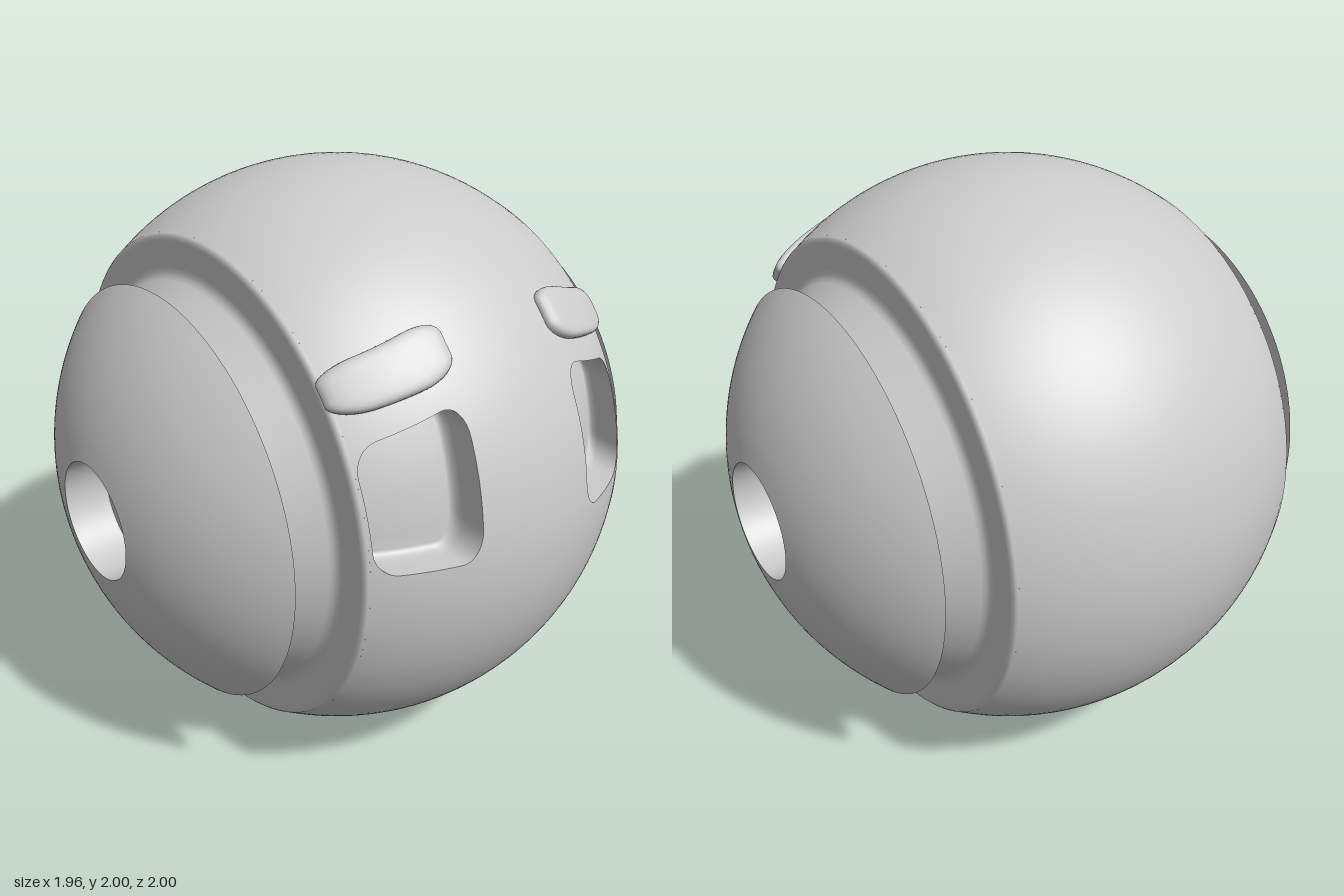
import * as THREE from 'three';
import { mergeGeometries } from 'three/addons/utils/BufferGeometryUtils.js';

const material = new THREE.MeshStandardMaterial({ color: 0xcccccc });
const EDGE = 0.545;               // half width of the spherical band
const T0 = -0.1, T1 = 0.78;       // angles about x that bound the face panels
const SIDE_STEPS = 24;

const ballZ = (x, y) => Math.sqrt(Math.max(0, 1 - x * x - y * y));
const lerp = THREE.MathUtils.lerp;

// Points around the square [-1, 1], counter-clockwise
const square = [];
for (const [x, y, dx, dy] of [[-1, -1, 1, 0], [1, -1, 0, 1], [1, 1, -1, 0], [-1, 1, 0, -1]]) {
  for (let i = 0; i < SIDE_STEPS; i++) {
    const t = (2 * i) / SIDE_STEPS;
    square.push([x + dx * t, y + dy * t]);
  }
}

// Rounded four-sided outline; corners: inner bottom, outer bottom, outer top, inner top
function outline(corners, round) {
  const [a, b, c, d] = corners;
  return square.map(([u, v]) => {
    const k = 1 - round;
    const qu = THREE.MathUtils.clamp(u, -k, k), qv = THREE.MathUtils.clamp(v, -k, k);
    const len = Math.hypot(u - qu, v - qv);
    const s = (qu + (round * (u - qu)) / len + 1) / 2;
    const t = (qv + (round * (v - qv)) / len + 1) / 2;
    return [0, 1].map((n) => lerp(lerp(a[n], b[n], s), lerp(d[n], c[n], s), t));
  });
}

// Skin over closed rings running from outside to inside; side -1 mirrors in x
function loft(rings, side) {
  const n = rings[0].length, position = [], index = [];
  for (const p of rings.flat()) position.push(side * p.x, p.y, p.z);
  for (let k = 0; k < rings.length - 1; k++) {
    for (let i = 0; i < n; i++) {
      const j = (i + 1) % n;
      const a = k * n + i, b = k * n + j, c = b + n, d = a + n;
      if (side > 0) index.push(a, b, c, a, c, d);
      else index.push(a, c, b, a, d, c);
    }
  }
  const geometry = new THREE.BufferGeometry();
  geometry.setAttribute('position', new THREE.Float32BufferAttribute(position, 3));
  geometry.setIndex(index);
  geometry.computeVertexNormals();
  return geometry;
}

// Rings of an outline on the ball: each step is [scale, offset]
function ringsOnBall(points, steps, offsetPoint) {
  const cx = points.reduce((s, p) => s + p[0], 0) / points.length;
  const cy = points.reduce((s, p) => s + p[1], 0) / points.length;
  return steps.map(([scale, h]) => points.map(([px, py]) => {
    const x = lerp(cx, px, scale), y = lerp(cy, py, scale);
    return offsetPoint(new THREE.Vector3(x, y, ballZ(x, y)), h);
  }));
}

// Ball panel filling the space between its border and the eye opening
function panelGeometry(eye, side) {
  const border = square.map(([u, v]) => [((u + 1) / 2) * EDGE, lerp(T0, T1, (v + 1) / 2)]);
  const hole = eye.map(([x, y]) => [x, Math.asin(y / Math.sqrt(1 - x * x))]);
  const rings = [];
  for (let k = 0; k <= 10; k++) {
    rings.push(border.map((p, i) => {
      const x = lerp(p[0], hole[i][0], k / 10), t = lerp(p[1], hole[i][1], k / 10);
      const r = Math.sqrt(1 - x * x);
      return new THREE.Vector3(x, r * Math.sin(t), r * Math.cos(t));
    }));
  }
  const geometry = loft(rings, side);
  geometry.setAttribute('normal', geometry.attributes.position.clone());
  return geometry;
}

// Turned part about the x axis from [radius, x] points
function turned(profile, side = 1, start = 0, length = Math.PI * 2) {
  const points = profile.map(([r, x]) => new THREE.Vector2(r, x));
  return new THREE.LatheGeometry(points, 128, start, length).rotateZ((-side * Math.PI) / 2);
}

function ballProfile(x0, x1, steps) {
  return Array.from({ length: steps + 1 }, (_, i) => {
    const x = lerp(x0, x1, i / steps);
    return [Math.sqrt(1 - x * x), x];
  });
}

export function createModel() {
  const model = new THREE.Group();
  model.name = 'ballHead';
  const ball = new THREE.Group();
  ball.name = 'ball';
  ball.position.y = 1;
  model.add(ball);

  const add = (name, geometry) => {
    const mesh = new THREE.Mesh(geometry, material);
    mesh.name = name;
    ball.add(mesh);
  };

  // Middle band, open where the two face panels sit
  add('middleBand', turned(ballProfile(-EDGE, EDGE, 40), 1, -T0, Math.PI * 2 - (T1 - T0)));

  const eye = outline([[0.23, 0.045], [0.535, 0.045], [0.54, 0.41], [0.218, 0.508]], 0.42);
  const brow = outline([[0.2, 0.57], [0.56, 0.48], [0.56, 0.595], [0.2, 0.71]], 0.62);
  const eyeSteps = [[1, 0], [1, 0.04], [1, 0.085], [0.985, 0.105], [0.95, 0.118], [0.9, 0.122],
    [0.7, 0.122], [0.5, 0.122], [0.25, 0.122], [0, 0.122]];
  const browSteps = [[0.98, -0.03], [1, 0], [1, 0.01], [0.97, 0.02], [0.91, 0.027], [0.82, 0.031],
    [0.65, 0.033], [0.4, 0.034], [0.2, 0.034], [0, 0.034]];

  for (const side of [1, -1]) {
    const label = side > 0 ? 'left' : 'right';

    // Face: panel, sunken eye and raised brow
    add(label + 'FacePanel', panelGeometry(eye, side));
    add(label + 'EyeSocket', loft(ringsOnBall(eye, eyeSteps, (p, h) => p.setZ(p.z - h)), side));
    add(label + 'Brow', loft(ringsOnBall(brow, browSteps, (p, h) => p.multiplyScalar(1 + h)), side));

    // Rounded rim of the band, flat side face and tapering neck
    add(label + 'SideRim', turned([[0.8385, EDGE], [0.835, 0.552], [0.828, 0.558], [0.815, 0.56],
      [0.8, 0.56], [0.73, 0.56], [0.715, 0.562], [0.703, 0.567], [0.69, 0.577], [0.59, 0.716]], side));

    // Domed side cap with a round blind hole
    add(label + 'Cap', mergeGeometries([
      turned([[0, 0.714], [0.703, 0.714]], side),
      turned(ballProfile(0.711, 0.98, 24), side),
      turned([[0.199, 0.98], [0.199, 0.83]], side),
      turned([[0.199, 0.83], [0, 0.83]], side),
    ]));
  }
  return model;
}
